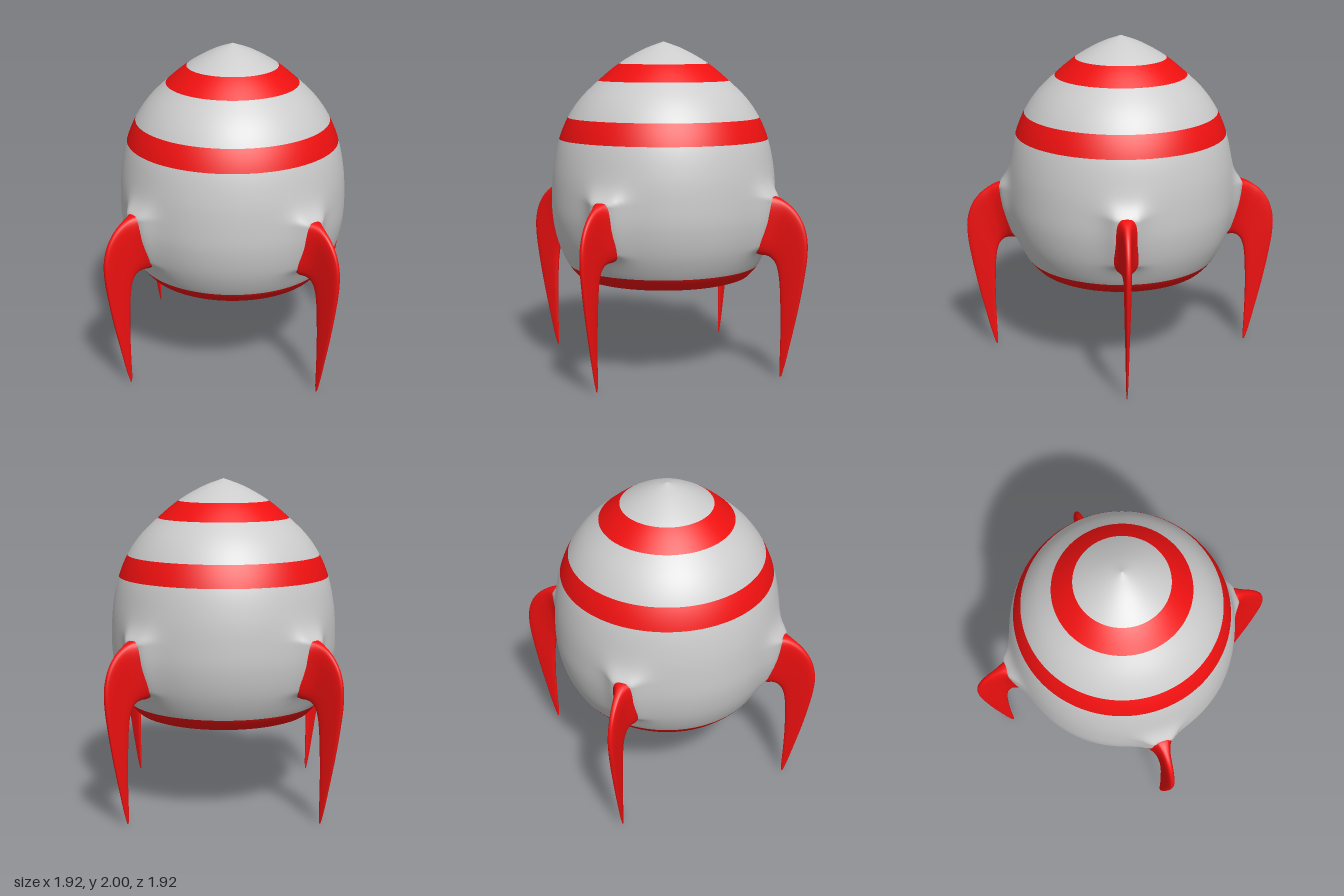
import * as THREE from 'three';

const grey = new THREE.MeshStandardMaterial({ color: 0xcccccc });
const red = new THREE.MeshStandardMaterial({ color: 0xf01010 });

// Hull outline (radius, height) from the rim up to the nose
const outline = new THREE.CatmullRomCurve3([
  [0.50, 0.556], [0.53, 0.567], [0.552, 0.588], [0.59, 0.635],
  [0.652, 0.77], [0.686, 0.93], [0.69, 1.08], [0.678, 1.24], [0.642, 1.41],
  [0.588, 1.54], [0.51, 1.655], [0.40, 1.763], [0.275, 1.866], [0.12, 1.955], [0, 2],
].map(([r, y]) => new THREE.Vector3(r, y, 0)));
const lastIndex = outline.points.length - 1;

// Lathe a stretch of the outline between two of its control points
function band(name, from, to, material, perSpan = 8) {
  const n = (to - from) * perSpan;
  const points = [];
  for (let i = 0; i <= n; i++) {
    const p = outline.getPoint((from + (i / n) * (to - from)) / lastIndex);
    points.push(new THREE.Vector2(Math.max(p.x, 0), p.y));
  }
  const mesh = new THREE.Mesh(new THREE.LatheGeometry(points, 160, Math.PI / 4), material);
  mesh.name = name;
  return mesh;
}

// Pull the hull outwards into soft fillets around the four fin roots
function addFillets(geometry) {
  const pos = geometry.attributes.position;
  for (let i = 0; i < pos.count; i++) {
    const x = pos.getX(i), y = pos.getY(i), z = pos.getZ(i);
    const side = Math.min(Math.abs(x), Math.abs(z));
    const du = Math.max(0, side - 0.055);
    const dy = Math.max(0, y - 1.08, (0.79 - y) * 1.6);
    const d = Math.hypot(du, dy);
    const height = THREE.MathUtils.mapLinear(THREE.MathUtils.clamp(y, 0.75, 1.1), 0.75, 1.1, 0.025, 0.065);
    const fade = THREE.MathUtils.smoothstep(y, 0.635, 0.72) * (1 - THREE.MathUtils.smoothstep(y, 1.25, 1.4));
    const k = 1 + (height * Math.exp(-Math.pow(d / 0.065, 1.3)) * fade) / Math.hypot(x, z);
    pos.setXYZ(i, x * k, y, z * k);
  }
  geometry.computeVertexNormals();
}

// Fin sections: outer x, y, inner x, y, half thickness, from root to tip
const finSections = [
  [0.69, 1.095, 0.63, 0.75, 0.08], [0.735, 1.095, 0.67, 0.74, 0.077],
  [0.77, 1.088, 0.70, 0.738, 0.054], [0.815, 1.066, 0.73, 0.727, 0.035],
  [0.875, 1.02, 0.757, 0.70, 0.026], [0.928, 0.945, 0.775, 0.655, 0.022],
  [0.956, 0.85, 0.787, 0.58, 0.02], [0.958, 0.75, 0.793, 0.48, 0.018],
  [0.94, 0.61, 0.797, 0.36, 0.015], [0.905, 0.42, 0.797, 0.24, 0.011],
  [0.86, 0.22, 0.795, 0.12, 0.008], [0.827, 0.08, 0.793, 0.04, 0.005],
  [0.805, 0.006, 0.796, 0.002, 0.002],
];

// Loft rounded sections along the fin
function finGeometry(rows = 72, cols = 32) {
  const outer = new THREE.CatmullRomCurve3(finSections.map(s => new THREE.Vector3(s[0], s[1], s[4])));
  const inner = new THREE.CatmullRomCurve3(finSections.map(s => new THREE.Vector3(s[2], s[3], s[4])));
  const round = v => Math.sign(v) * Math.pow(Math.abs(v), 0.6);
  const verts = [], index = [];
  for (let i = 0; i <= rows; i++) {
    const o = outer.getPoint(i / rows), n = inner.getPoint(i / rows);
    for (let j = 0; j < cols; j++) {
      const a = (j / cols) * Math.PI * 2;
      const t = 0.5 + 0.5 * round(Math.cos(a));
      verts.push(n.x + (o.x - n.x) * t, n.y + (o.y - n.y) * t, o.z * round(Math.sin(a)));
      if (i === rows) continue;
      const k = i * cols + j, l = i * cols + (j + 1) % cols;
      index.push(k, k + cols, l, l, k + cols, l + cols);
    }
  }
  // Close the tip
  const end = rows * cols;
  for (let j = 1; j < cols - 1; j++) index.push(end, end + j + 1, end + j);
  const geometry = new THREE.BufferGeometry();
  geometry.setAttribute('position', new THREE.Float32BufferAttribute(verts, 3));
  geometry.setIndex(index);
  // Make sure the faces point outwards: compare a side vertex normal with its side
  geometry.computeVertexNormals();
  const probe = 20 * cols + cols / 4;
  if (geometry.attributes.normal.getZ(probe) < 0) {
    geometry.setIndex(index.reverse());
    geometry.computeVertexNormals();
  }
  return geometry;
}

export function createModel() {
  const model = new THREE.Group();
  model.name = 'rocket';

  // Hull bands
  const lowerHull = band('lowerHull', 3, 8, grey, 16);
  addFillets(lowerHull.geometry);
  model.add(
    band('rimBand', 0, 3, red),
    lowerHull,
    band('middleStripe', 8, 9, red),
    band('upperHull', 9, 11, grey),
    band('upperStripe', 11, 12, red),
    band('noseCone', 12, 14, grey),
  );

  // Conical hollow in the underside
  const hollow = [[0, 1.02], [0.22, 0.81], [0.43, 0.605], [0.455, 0.58], [0.475, 0.563], [0.5, 0.556]];
  const nozzle = new THREE.Mesh(
    new THREE.LatheGeometry(hollow.map(([r, y]) => new THREE.Vector2(r, y)), 96), grey);
  nozzle.name = 'engineHollow';
  model.add(nozzle);

  // Four fins
  const geometry = finGeometry();
  ['leftFin', 'backFin', 'rightFin', 'frontFin'].forEach((name, i) => {
    const fin = new THREE.Mesh(geometry, red);
    fin.name = name;
    fin.rotation.y = (i * Math.PI) / 2;
    model.add(fin);
  });

  return model;
}
